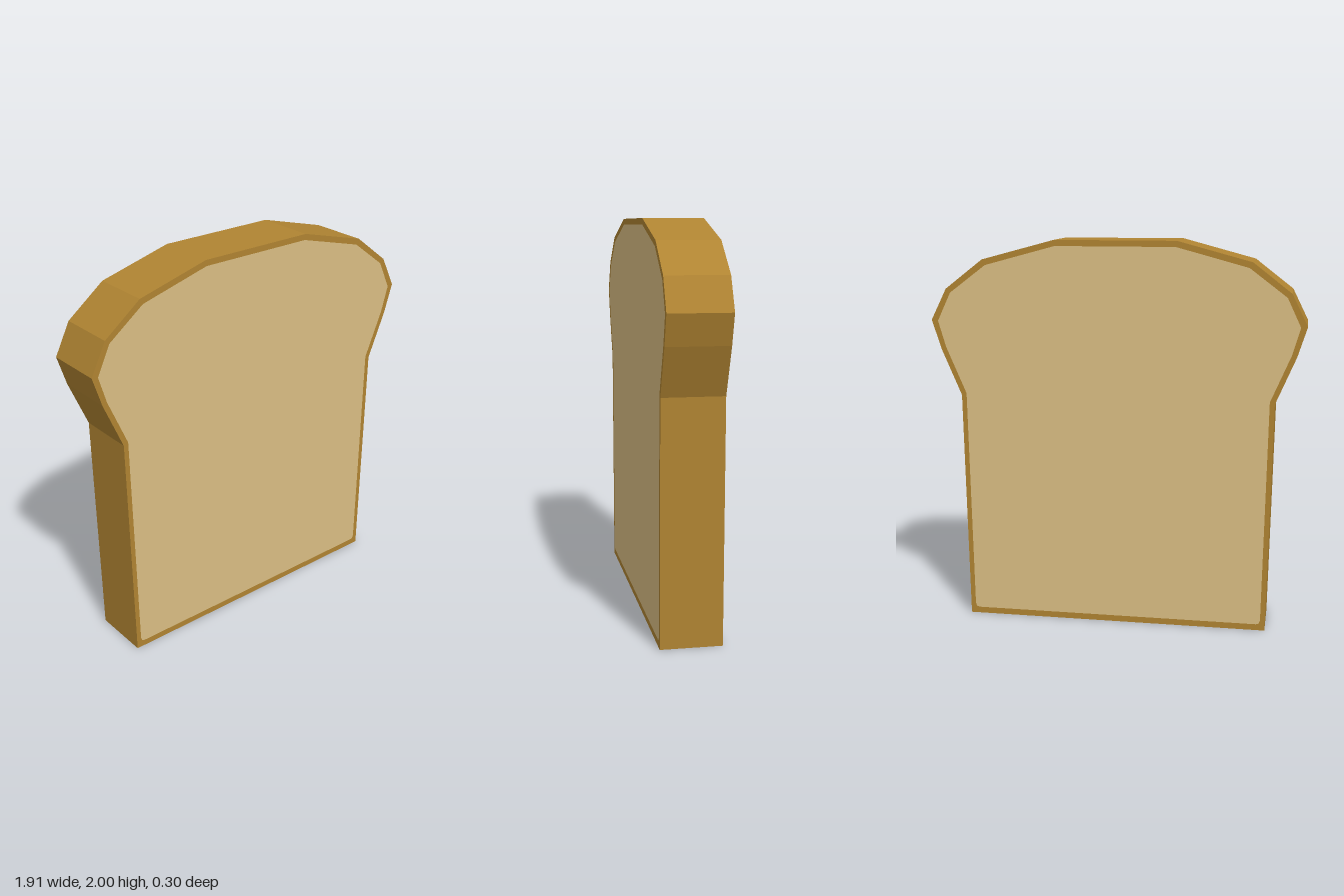
import * as THREE from 'three';

const HALF_DEPTH = 0.152;

// Right halves of the outlines, bottom to top
const crustHalf = [
  [0.79, 0], [0.808, 1.2], [0.91, 1.44], [0.957, 1.59],
  [0.877, 1.75], [0.683, 1.9], [0.31, 2],
];
const crumbHalf = [
  [0.745, 0.032], [0.76, 0.037], [0.766, 0.055], [0.783, 1.21], [0.885, 1.45],
  [0.924, 1.585], [0.855, 1.73], [0.667, 1.872], [0.305, 1.97],
];

// Mirror a half outline into a closed loop
function mirrored(half) {
  const left = half.map(([x, y]) => [-x, y]).reverse();
  return [...half, ...left].map(([x, y]) => new THREE.Vector2(x, y));
}

export function createModel() {
  const crustMaterial = new THREE.MeshStandardMaterial({ color: 0xb08432 });
  crustMaterial.name = 'crust brown';
  const crumbMaterial = new THREE.MeshStandardMaterial({ color: 0xdabe84 });
  crumbMaterial.name = 'crumb tan';

  const group = new THREE.Group();
  group.name = 'breadSlice';

  // Crust: a faceted band with the crumb area left open
  const crustShape = new THREE.Shape(mirrored(crustHalf));
  crustShape.holes.push(new THREE.Path(mirrored(crumbHalf)));
  const crustGeometry = new THREE.ExtrudeGeometry(crustShape, {
    depth: HALF_DEPTH * 2, bevelEnabled: false,
  });
  crustGeometry.translate(0, 0, -HALF_DEPTH);
  const crust = new THREE.Mesh(crustGeometry, crustMaterial);
  crust.name = 'crust';
  group.add(crust);

  // Crumb: flat faces flush with the crust, front and back
  const crumbGeometry = new THREE.ShapeGeometry(new THREE.Shape(mirrored(crumbHalf)));
  for (const side of [1, -1]) {
    const crumb = new THREE.Mesh(crumbGeometry, crumbMaterial);
    crumb.name = side > 0 ? 'frontCrumb' : 'backCrumb';
    crumb.position.z = side * HALF_DEPTH;
    crumb.rotation.y = side > 0 ? 0 : Math.PI;
    group.add(crumb);
  }

  return group;
}
